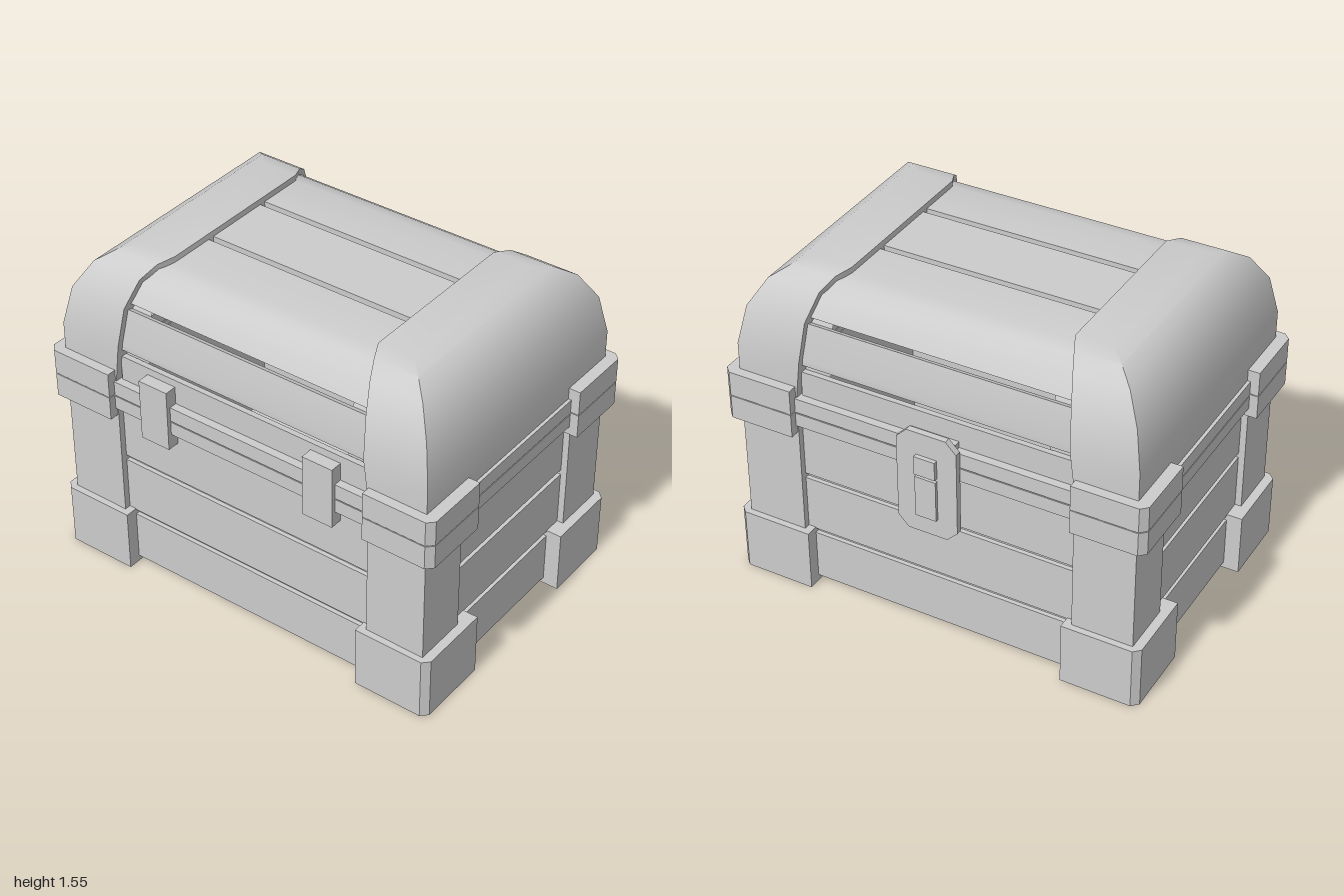
import * as THREE from 'three';
import { toCreasedNormals } from 'three/addons/utils/BufferGeometryUtils.js';

const HX = 0.665, HZ = 0.945; // half size of the chest at the posts and lid caps

// Lid profile: [inset from the side, height, upward part of the normal]
const PROFILE = [[0, 1.0, 0], [0, 1.185, 0.1], [0.035, 1.365, 0.35], [0.105, 1.485, 0.7], [0.18, 1.535, 0.93], [0.255, 1.55, 1]];
const profileAt = (s, t) => {
  const i = Math.min(Math.floor(s), PROFILE.length - 2), f = s - i;
  const [a, b] = [i, i + 1].map((k) => {
    const [inset, y, ny] = PROFILE[k];
    return [inset + t * Math.sqrt(1 - ny * ny), y - t * ny];
  });
  return [a[0] + (b[0] - a[0]) * f, a[1] + (b[1] - a[1]) * f];
};

export function createModel() {
  const model = new THREE.Group();
  model.name = 'chest';
  const chest = new THREE.Group();
  chest.name = 'chestParts';
  chest.position.x = -0.01;
  model.add(chest);
  const grey = new THREE.MeshStandardMaterial({ color: 0xcccccc });
  grey.name = 'light grey';

  const add = (name, geometry) => {
    const mesh = new THREE.Mesh(geometry, grey);
    mesh.name = name;
    chest.add(mesh);
    return mesh;
  };
  const box = (name, x0, x1, y0, y1, z0, z1) =>
    add(name, new THREE.BoxGeometry(x1 - x0, y1 - y0, z1 - z0).translate((x0 + x1) / 2, (y0 + y1) / 2, (z0 + z1) / 2));
  const shapeOf = (pts) => new THREE.Shape(pts.map(([x, y]) => new THREE.Vector2(x, y)));
  const extrude = (shape, depth) => new THREE.ExtrudeGeometry(shape, { depth, bevelEnabled: false });
  const upright = (shape, y0, y1) => extrude(shape, y1 - y0).rotateX(-Math.PI / 2).translate(0, y0, 0);
  const rect = (x, z) => [[-x, -z], [x, -z], [x, z], [-x, z]];

  // Rectangular ring running round the chest
  const frame = (name, hx, hz, y0, y1, thick) => {
    const shape = shapeOf(rect(hx, hz));
    shape.holes.push(shapeOf(rect(hx - thick, hz - thick)));
    add(name, upright(shape, y0, y1));
  };

  // L-shaped pieces on all four corners
  const corners = (name, hx, hz, lx, lz, y0, y1, thick, c) => {
    for (const sx of [-1, 1]) for (const sz of [-1, 1]) {
      const pts = [[hx - lx, hz], [hx - c, hz]];
      if (c > 0) pts.push([hx, hz - c]);
      pts.push([hx, hz - lz], [hx - thick, hz - lz], [hx - thick, hz - thick], [hx - lx, hz - thick]);
      add(name, upright(shapeOf(pts.map(([x, z]) => [x * sx, -z * sz])), y0, y1));
    }
  };

  // Body: boards with grooves between them, lining, floor and rims
  for (const [y0, y1] of [[0.03, 0.27], [0.295, 0.56], [0.585, 0.86]]) frame('bodyBoards', 0.635, 0.915, y0, y1, 0.05);
  frame('bodyLining', 0.615, 0.895, 0.04, 0.9, 0.04);
  box('floor', -0.6, 0.6, 0.04, 0.08, -0.88, 0.88);
  frame('bodyRim', 0.675, 0.96, 0.86, 0.925, 0.1);
  frame('lidRim', 0.675, 0.96, 0.93, 1.0, 0.1);

  // Corner fittings
  corners('cornerPost', HX, HZ, 0.255, 0.285, 0.03, 0.87, 0.07, 0);
  corners('foot', 0.695, 0.9875, 0.37, 0.3625, 0, 0.3, 0.09, 0.03);
  corners('bodyCornerBand', 0.71, 1.0, 0.335, 0.335, 0.82, 0.933, 0.09, 0.03);
  corners('lidCornerBand', 0.71, 1.0, 0.335, 0.335, 0.937, 1.055, 0.09, 0.03);

  // Lid end cap: closed loop per level, holding the cap and its inner lip
  const capGeometry = () => {
    const pos = [], index = [], n = 10, T = 0.06, lip = 0.52;
    PROFILE.forEach((p, i) => {
      const [oi, oy] = profileAt(i, 0), [ii, iy] = profileAt(i, T);
      const ox = HX - oi, oz = HZ - oi, ix = HX - ii, iz = HZ - ii;
      const edge = i === 0 ? 0.66 : 0.52 + (0.255 - oi) * 0.46;
      const half = [[-ix, iy, lip], [-ix, iy, edge], [-ox, oy, edge], [-ox, oy, oz]];
      const loop = [...half, ...half.map(([x, y, z]) => [-x, y, z]).reverse(), [ix, iy, iz], [-ix, iy, iz]];
      pos.push(...loop.flat());
    });
    const quad = (a, b, c, d) => index.push(a, b, c, a, c, d);
    const last = PROFILE.length - 1;
    for (let i = 0; i < last; i++) for (let j = 0; j < n; j++) {
      const k = (j + 1) % n;
      quad(i * n + j, i * n + k, (i + 1) * n + k, (i + 1) * n + j);
    }
    const top = last * n;
    for (let k = 0; k < 3; k++) quad(top + k + 1, top + 6 - k, top + 7 - k, top + k);
    quad(top, top + 7, top + 8, top + 9);
    const g = new THREE.BufferGeometry();
    g.setAttribute('position', new THREE.Float32BufferAttribute(pos, 3));
    g.setIndex(index);
    return toCreasedNormals(g, 0.55);
  };
  add('frontLidCap', capGeometry());
  add('backLidCap', capGeometry().rotateY(Math.PI));

  // Lid boards following the arch, with open gaps between them
  const OUT = 0.028, IN = 0.056, LEN = 0.65;
  const paramAtY = (y) => {
    for (let i = 0; i < PROFILE.length - 1; i++) {
      const a = profileAt(i, OUT)[1], b = profileAt(i + 1, OUT)[1];
      if (y <= b) return i + Math.max(0, (y - a) / (b - a));
    }
    return PROFILE.length - 1;
  };
  const board = (name, pts) =>
    add(name, toCreasedNormals(extrude(shapeOf(pts), 2 * LEN).translate(0, 0, -LEN), 0.55));
  const topOut = 1.55 - OUT, topIn = 1.55 - IN;
  for (const [name, y0, y1] of [['lowerLidBoard', 1.0, 1.12], ['middleLidBoard', 1.155, 1.35], ['upperLidBoard', 1.375, 9]]) {
    const s0 = paramAtY(y0), s1 = paramAtY(y1), params = [s0];
    for (let i = Math.floor(s0) + 1; i < s1; i++) params.push(i);
    params.push(s1);
    const line = (t) => params.map((s) => profileAt(s, t)).map(([inset, y]) => [inset - HX, y]);
    const outer = line(OUT), inner = line(IN);
    if (y1 > 2) {
      outer.push([-0.19, topOut]);
      inner.push([-0.19, topIn]);
    }
    const pts = [...outer, ...inner.reverse()];
    for (const side of [-1, 1]) board(name, pts.map(([x, y]) => [-side * x, y]));
  }
  board('topLidBoard', [[-0.16, topIn], [0.16, topIn], [0.16, topOut], [-0.16, topOut]]);

  // Lock on the left side: housing, chamfered plate, hasp and bolt
  box('lockHousing', 0.62, 0.685, 0.6, 1.03, -0.115, 0.115);
  const w = 0.143, c = 0.05, y0 = 0.56, y1 = 1.065;
  const plate = shapeOf([[-w + c, y0], [w - c, y0], [w, y0 + c], [w, y1 - c], [w - c, y1], [-w + c, y1], [-w, y1 - c], [-w, y0 + c]]);
  add('lockPlate', extrude(plate, 0.03).rotateY(Math.PI / 2).translate(0.68, 0, 0));
  box('lockHasp', 0.7, 0.73, 0.865, 0.955, -0.05, 0.05);
  box('lockBolt', 0.7, 0.725, 0.65, 0.85, -0.05, 0.05);

  // Hinges on the right side
  for (const s of [-1, 1]) {
    const z = s * 0.43;
    box('hinge', -0.695, -0.63, 0.79, 1.085, z - 0.075, z + 0.075);
  }
  return model;
}
